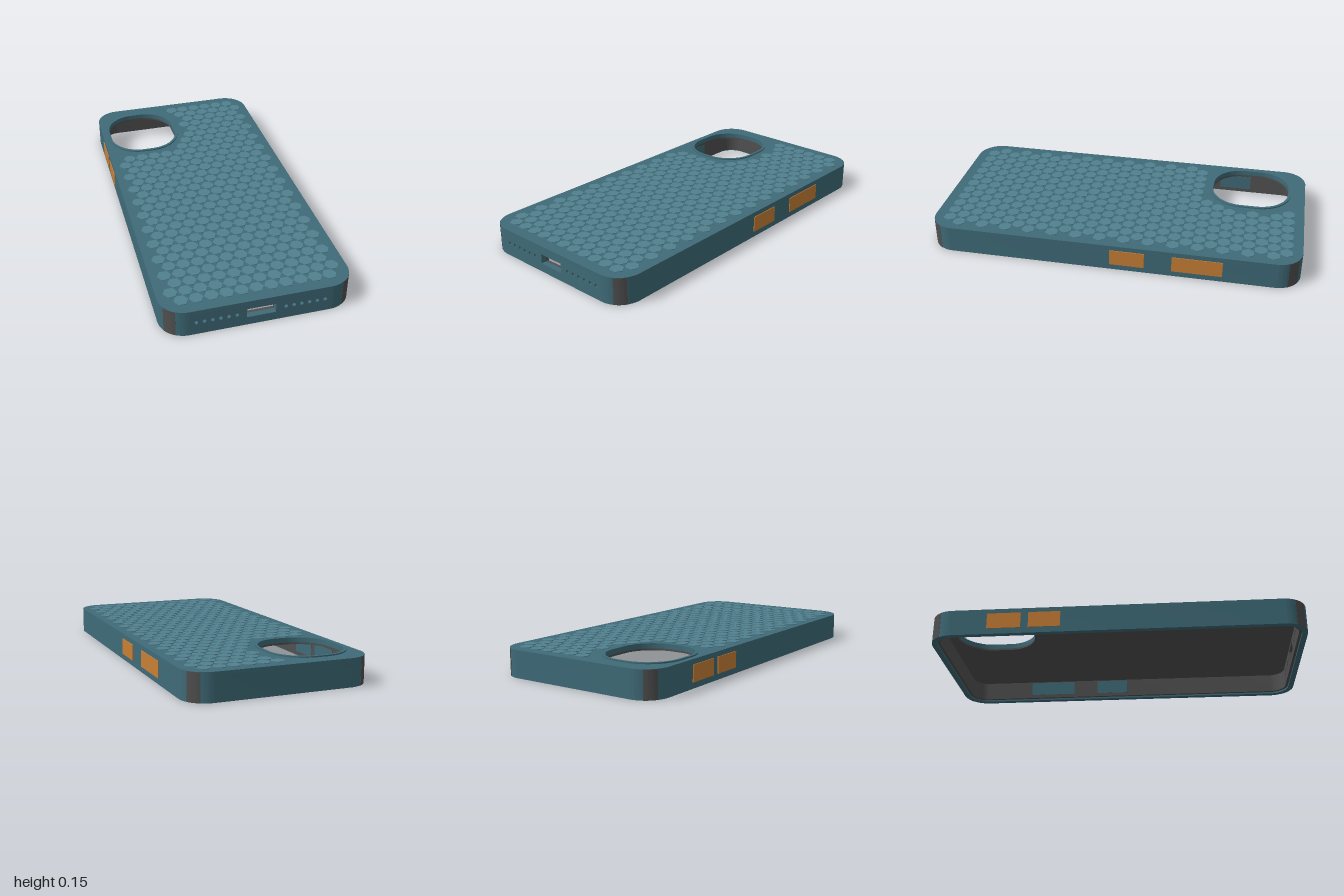
import * as THREE from 'three';
import { mergeGeometries, toCreasedNormals } from 'three/addons/utils/BufferGeometryUtils.js';

const W = 0.485, L = 1, R = 0.13, TOP = 0.145;
const CX = W - R, CZ = L - R; // corner arc centres
const WALL = 0.03, LINER = 0.015;
const HOLE = { x: -0.2425, z: -0.69, w: 0.1975, l: 0.215, r: 0.17 };

const material = (color) => new THREE.MeshStandardMaterial({ color });
const teal = material(0x3f6b78), lightTeal = material(0x51808f);
const grey = material(0x505050), orange = material(0xc87f35);

function add(parent, name, geometry, mat) {
  const mesh = new THREE.Mesh(geometry, mat);
  mesh.name = name;
  parent.add(mesh);
  return mesh;
}

// Plan outline (x, z) raised between two heights
function slab(shape, y0, y1) {
  const g = new THREE.ExtrudeGeometry(shape, { depth: y1 - y0, bevelEnabled: false, curveSegments: 14 });
  g.rotateX(Math.PI / 2).translate(0, y1, 0);
  return toCreasedNormals(g, 0.6);
}

function roundedRect(path, x, z, w, l, r) {
  const a = w - r, b = l - r, q = Math.PI / 2;
  path.moveTo(x + w, z - b);
  path.absarc(x + a, z + b, r, 0, q, false);
  path.absarc(x - a, z + b, r, q, 2 * q, false);
  path.absarc(x - a, z - b, r, 2 * q, 3 * q, false);
  path.absarc(x + a, z - b, r, 3 * q, 4 * q, false);
  return path;
}
const cameraOutline = (path, grow) =>
  roundedRect(path, HOLE.x, HOLE.z, HOLE.w + grow, HOLE.l + grow, HOLE.r + grow);

// Back panel with the camera opening
function panel(inset, y0, y1, holeGrow) {
  const s = roundedRect(new THREE.Shape(), 0, 0, W - inset, L - inset, R - inset);
  s.holes.push(cameraOutline(new THREE.Path(), holeGrow));
  return slab(s, y0, y1);
}

// Wall round three sides and all corners, open along the straight front
function sideWall(inset, thickness, y0, y1) {
  const q = Math.PI / 2, ro = R - inset, ri = ro - thickness;
  const corners = [[CX, CZ, q], [CX, -CZ, 0], [-CX, -CZ, -q], [-CX, CZ, -2 * q]];
  const s = new THREE.Shape();
  s.moveTo(CX, CZ + ro);
  for (const [x, z, a] of corners) s.absarc(x, z, ro, a, a - q, true);
  for (const [x, z, a] of corners.reverse()) s.absarc(x, z, ri, a - q, a, false);
  s.closePath();
  return slab(s, y0, y1);
}

// Straight front wall pierced by the charging port and speaker holes
function frontWall(inset, thickness, y0, y1) {
  const rect = (p, x0, b, x1, t) => p.moveTo(x0, b).lineTo(x1, b).lineTo(x1, t).lineTo(x0, t).closePath();
  const s = rect(new THREE.Shape(), -CX, y0, CX, y1);
  s.holes.push(rect(new THREE.Path(), -0.073, 0.047, 0.073, 0.098));
  for (const side of [-1, 1]) for (let i = 0; i < 6; i++) {
    const x = side * (0.123 + i * 0.0402);
    s.holes.push(new THREE.Path().absarc(x, 0.072, 0.01, 0, Math.PI * 2, false));
  }
  const g = new THREE.ExtrudeGeometry(s, { depth: thickness, bevelEnabled: false, curveSegments: 8 });
  return g.translate(0, 0, L - inset - thickness);
}

// Distance from the camera opening's edge
function holeDistance(x, z) {
  const qx = Math.max(Math.abs(x - HOLE.x) - HOLE.w + HOLE.r, 0);
  const qz = Math.max(Math.abs(z - HOLE.z) - HOLE.l + HOLE.r, 0);
  return Math.hypot(qx, qz) - HOLE.r;
}

function hexGrip() {
  const pitch = 0.075, cells = [];
  for (let row = 0; row < 29; row++) {
    const z = -0.915 + row * 0.0652, odd = row % 2;
    for (let i = 0; i < 11 + odd; i++) {
      const x = (i - 5 - odd / 2) * pitch;
      if (holeDistance(x, z) < 0.07) continue;
      const hex = new THREE.CylinderGeometry(0.0365, 0.0365, 0.006, 6).toNonIndexed();
      hex.rotateY(Math.PI / 6).translate(x, TOP, z);
      cells.push(hex);
    }
  }
  return mergeGeometries(cells);
}

export function createModel() {
  const model = new THREE.Group();
  model.name = 'phoneCase';

  // Outer shell
  const shell = new THREE.Group();
  shell.name = 'outerShell';
  model.add(shell);
  add(shell, 'backPanel', panel(0, 0.125, TOP, 0), teal);
  add(shell, 'sideWall', sideWall(0, WALL, 0, 0.125), teal);
  add(shell, 'frontWall', frontWall(0, WALL, 0, 0.125), teal);

  // Soft inner lining
  const lining = new THREE.Group();
  lining.name = 'innerLining';
  model.add(lining);
  add(lining, 'liningPanel', panel(WALL, 0.115, 0.125, 0), grey);
  add(lining, 'liningSideWall', sideWall(WALL, LINER, 0.01, 0.115), grey);
  add(lining, 'liningFrontWall', frontWall(WALL, LINER, 0.01, 0.115), grey);

  // Raised rim round the camera opening
  const rim = cameraOutline(new THREE.Shape(), 0.015);
  rim.holes.push(cameraOutline(new THREE.Path(), 0));
  add(model, 'cameraRim', slab(rim, 0.14, 0.152), teal);

  add(model, 'hexGrip', hexGrip(), lightTeal);

  // Corner bumper strips
  for (const [sx, sz, quarter] of [[1, 1, 0], [-1, 1, 1], [-1, -1, 2], [1, -1, 3]]) {
    const a0 = quarter * Math.PI / 2 + Math.PI / 6, a1 = a0 + Math.PI / 6;
    const s = new THREE.Shape();
    s.absarc(sx * CX, sz * CZ, R + 0.001, a0, a1, false);
    s.absarc(sx * CX, sz * CZ, R - 0.01, a1, a0, true);
    s.closePath();
    add(model, 'cornerBumper', slab(s, 0, TOP - 0.001), grey);
  }

  // Side buttons, each with a backing plate inside the lining
  const buttons = [[1, -0.6, -0.335], [1, -0.19, -0.005], [-1, -0.68, -0.5], [-1, -0.46, -0.29]];
  for (const [side, z0, z1] of buttons) {
    const length = z1 - z0, z = (z0 + z1) / 2;
    add(model, 'sideButton', new THREE.BoxGeometry(0.012, 0.087, length), orange)
      .position.set(side * (W - 0.002), 0.075, z);
    add(model, 'buttonBacking', new THREE.BoxGeometry(0.006, 0.08, length), teal)
      .position.set(side * (W - WALL - LINER + 0.001), 0.07, z);
  }
  return model;
}
